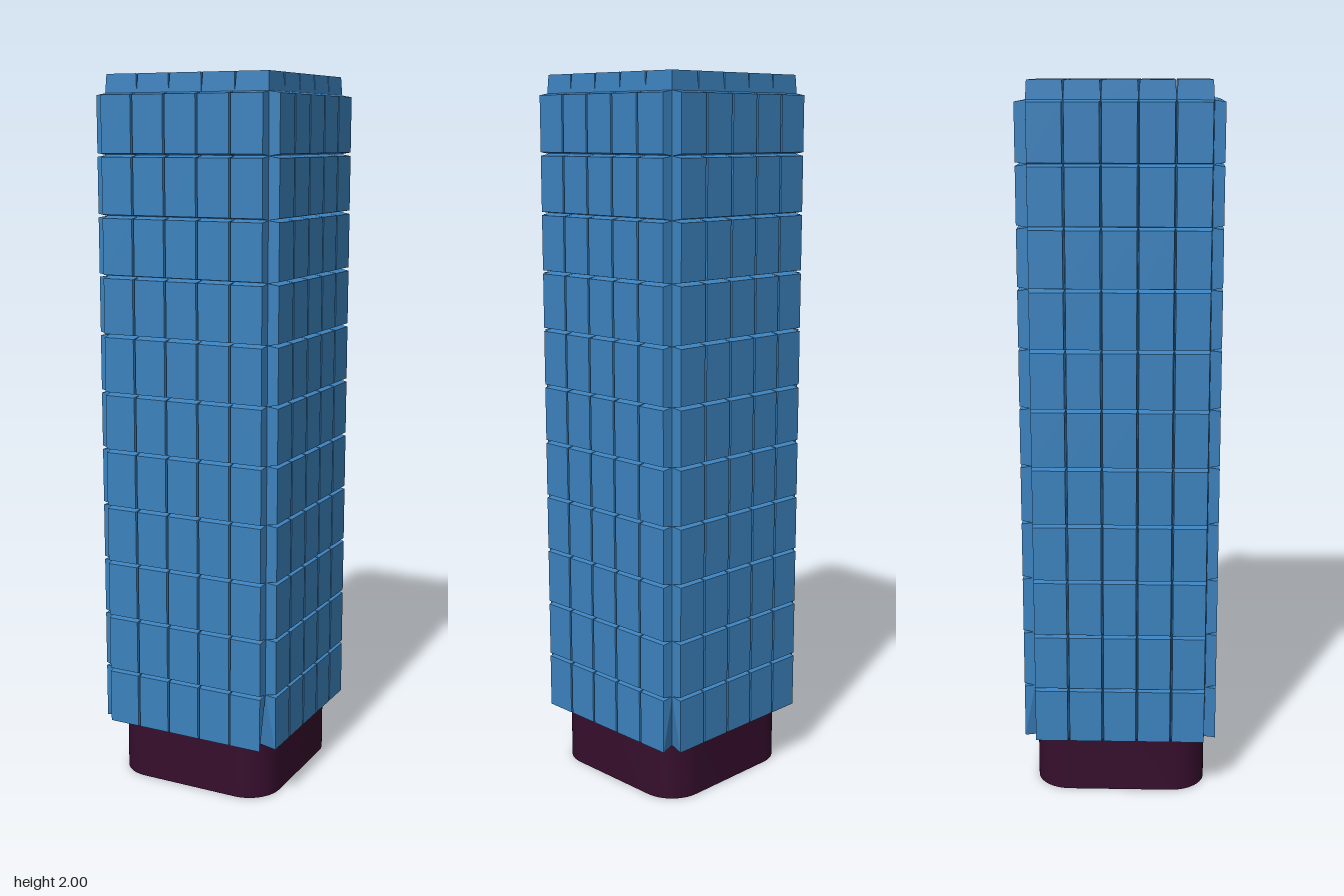
import * as THREE from 'three';
import { toCreasedNormals } from 'three/addons/utils/BufferGeometryUtils.js';

const CELL = 0.097, ROW = 0.1625, HALF = CELL * 2.5;
const BASE_H = ROW, TOP_Y = ROW * 12;
const CUT = HALF - CELL * (1 - Math.SQRT1_2); // where the base's round corner meets the wall

// One raised tile: inner = four wall corners, outer = four raised corners (bl, br, tr, tl)
function addTile(out, a, b) {
  const tri = (...pts) => pts.forEach((p) => out.push(...p));
  tri(b[0], b[1], b[2], b[0], b[2], b[3]); // face
  tri(a[0], a[1], b[1], a[0], b[1], b[0]); // lower edge
  tri(b[3], b[2], a[2], b[3], a[2], a[3]); // upper edge
  tri(b[1], a[1], a[2], b[1], a[2], b[2]); // right end
  tri(a[0], b[0], a[3], b[0], b[3], a[3]); // left end
}

// Grid of tapered tiles in the xy plane, raised toward +z from z = wall
function tileGrid(cols, rows, w, h, wall, depth, insetX, insetY, cutCorners) {
  const out = [];
  for (let r = 0; r < rows; r++) {
    for (let c = 0; c < cols; c++) {
      const x0 = (c - cols / 2) * w, x1 = x0 + w;
      const y0 = r * h, y1 = y0 + h;
      const z = wall + depth;
      const inner = [[x0, y0, wall], [x1, y0, wall], [x1, y1, wall], [x0, y1, wall]];
      const outer = [
        [x0 + insetX, y0 + insetY, z], [x1 - insetX, y0 + insetY, z],
        [x1 - insetX, y1 - insetY, z], [x0 + insetX, y1 - insetY, z],
      ];
      // The lowest wall corners draw in to follow the rounded base
      if (cutCorners && r === 0 && c === 0) inner[0] = [-CUT, y0, CUT];
      if (cutCorners && r === 0 && c === cols - 1) inner[1] = [CUT, y0, CUT];
      addTile(out, inner, outer);
    }
  }
  const geo = new THREE.BufferGeometry();
  geo.setAttribute('position', new THREE.Float32BufferAttribute(out, 3));
  geo.computeVertexNormals();
  return geo;
}

export function createModel() {
  const model = new THREE.Group();
  model.name = 'tiledTower';

  const blue = new THREE.MeshStandardMaterial({ color: 0x3c82be });
  blue.name = 'blue';
  const plum = new THREE.MeshStandardMaterial({ color: 0x360e2d });
  plum.name = 'dark plum';

  // Base: rounded square block
  const s = new THREE.Shape();
  const k = HALF - CELL;
  s.absarc(k, k, CELL, 0, Math.PI / 2);
  s.absarc(-k, k, CELL, Math.PI / 2, Math.PI);
  s.absarc(-k, -k, CELL, Math.PI, Math.PI * 1.5);
  s.absarc(k, -k, CELL, Math.PI * 1.5, Math.PI * 2);
  let baseGeo = new THREE.ExtrudeGeometry(s, { depth: BASE_H, bevelEnabled: false, curveSegments: 8 });
  baseGeo.rotateX(-Math.PI / 2);
  baseGeo = toCreasedNormals(baseGeo, 0.6);
  const base = new THREE.Mesh(baseGeo, plum);
  base.name = 'base';
  model.add(base);

  // Four walls of tiles
  const wallGeo = tileGrid(5, 11, CELL, ROW, HALF, 0.03, 0.003, 0.005, true);
  ['frontWall', 'leftWall', 'backWall', 'rightWall'].forEach((name, i) => {
    const wall = new THREE.Mesh(wallGeo, blue);
    wall.name = name;
    wall.position.y = BASE_H;
    wall.rotation.y = i * Math.PI / 2;
    model.add(wall);
  });

  // Roof tiles
  const roofGeo = tileGrid(5, 5, CELL, CELL, 0, 2 - TOP_Y, 0.003, 0.003, false);
  roofGeo.translate(0, -HALF, 0);
  roofGeo.rotateX(-Math.PI / 2);
  const roof = new THREE.Mesh(roofGeo, blue);
  roof.name = 'roofTiles';
  roof.position.y = TOP_Y;
  model.add(roof);

  return model;
}
